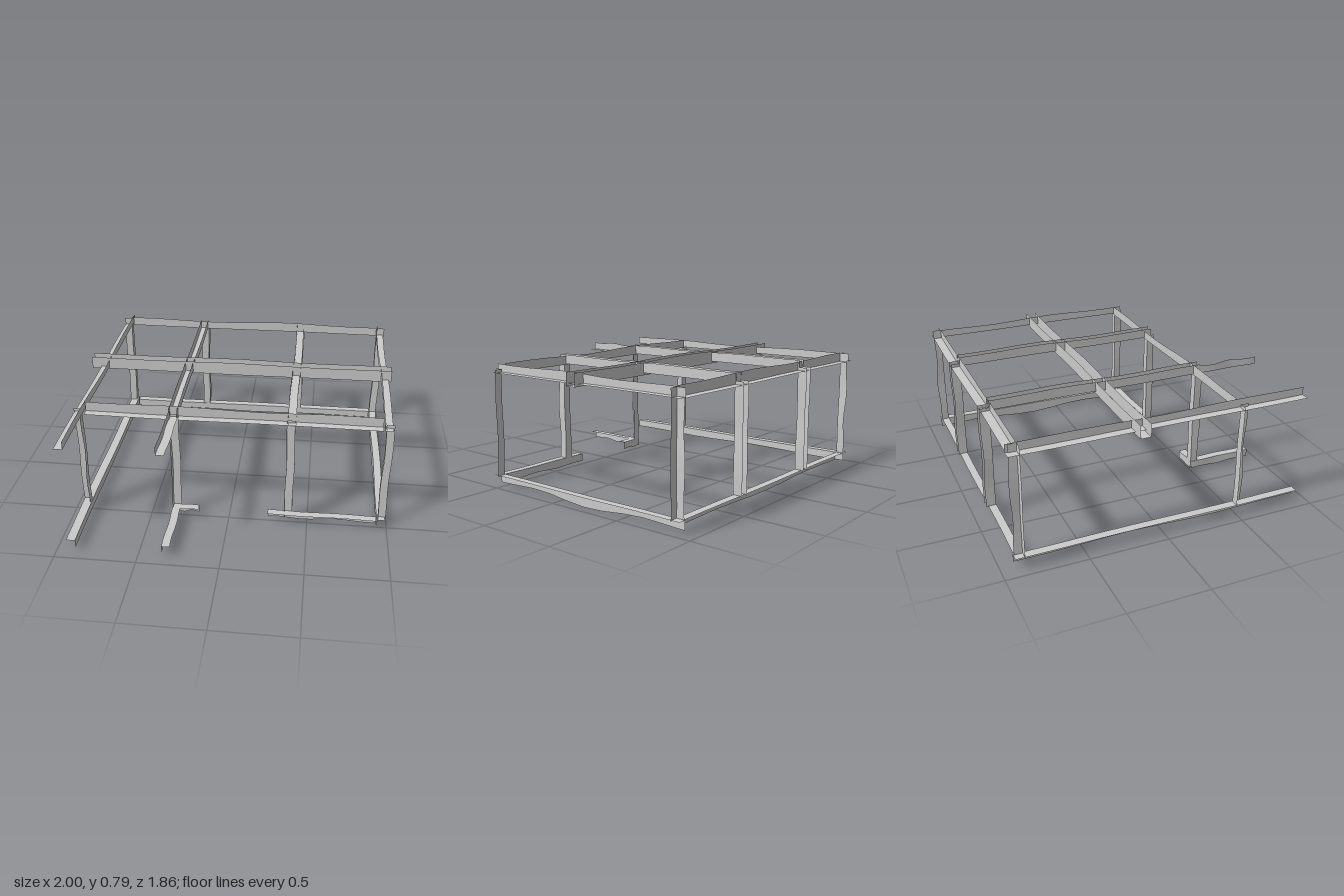
import * as THREE from 'three';

const material = new THREE.MeshStandardMaterial({ color: 0xcccccc, side: THREE.DoubleSide, flatShading: true });
const V = (x, y, z) => new THREE.Vector3(x, y, z);
const X = V(1, 0, 0), Y = V(0, 1, 0), Z = V(0, 0, 1);
const neg = (v) => v.clone().negate();

// Slightly wavy thin-sheet beam: an open section (list of points built from
// the two flange directions u and v) swept in a straight line from a to b.
function sweep(name, a, b, u, v, section, wave) {
  const n = 10, rows = section.length, pos = [], index = [];
  const phase = (a.x + 2 * a.y + 3 * a.z + b.x) * 4;
  for (let i = 0; i <= n; i++) {
    const t = i / n;
    const drift = 0.003 * Math.sin(t * 9 + phase);
    const swell = 1 + wave * Math.sin(t * Math.PI * 3 + phase) * Math.sin(t * Math.PI);
    for (const [su, sv] of section) {
      const p = a.clone().lerp(b, t);
      p.addScaledVector(u, su + drift).addScaledVector(v, sv * swell);
      pos.push(p.x, p.y, p.z);
    }
  }
  for (let i = 0; i < n; i++) {
    for (let j = 0; j < rows - 1; j++) {
      const k = i * rows + j;
      index.push(k, k + rows, k + 1, k + 1, k + rows, k + rows + 1);
    }
  }
  const geometry = new THREE.BufferGeometry();
  geometry.setAttribute('position', new THREE.Float32BufferAttribute(pos, 3));
  geometry.setIndex(index);
  geometry.computeVertexNormals();
  const mesh = new THREE.Mesh(geometry, material);
  mesh.name = name;
  return mesh;
}

// L profile: the path follows the corner, flanges run along u and v
const angle = (name, a, b, u, v, wu = 0.05, wv = 0.05, wave = 0.15) =>
  sweep(name, a, b, u, v, [[wu, 0], [0, 0], [0, wv]], wave);

// U profile: the web lies along u, both flanges run along v
const channel = (name, a, b, u, v, wu = 0.05, wv = 0.06, wave = 0.08) =>
  sweep(name, a, b, u, v, [[0, wv], [0, 0], [wu, 0], [wu, wv]], wave);

export function createModel() {
  const group = new THREE.Group();
  group.name = 'steelFrame';
  const down = neg(Y), left = neg(X), back = neg(Z);

  // Roof edge rails
  group.add(
    angle('roofSideRailA', V(-0.885, 0.72, -0.93), V(-0.885, 0.72, 0.93), left, Y, 0.055),
    angle('roofSideRailB', V(0.93, 0.72, -0.92), V(0.93, 0.72, 0.53), X, Y),
    angle('roofFrontRail', V(-0.88, 0.715, 0.47), V(0.92, 0.715, 0.47), Z, Y, 0.05, 0.06),
    angle('roofBackRail', V(-0.88, 0.715, -0.865), V(0.93, 0.715, -0.865), back, Y, 0.055, 0.06),
  );

  // Roof joists, the long crossbeam and the porch extension
  for (const x of [-0.36, 0.355]) {
    group.add(channel('roofJoist', V(x, 0.72, -0.87), V(x, 0.72, 0.52), X, Y));
  }
  group.add(
    channel('crossbeam', V(-1, 0.705, -0.2), V(1, 0.705, -0.2), Z, Y, 0.065, 0.08),
    angle('porchRoofRail', V(-0.355, 0.72, 0.5), V(-0.355, 0.72, 0.93), X, Y),
  );

  // Floor rails, with a door gap at the front
  group.add(
    angle('floorSideRailA', V(-0.885, 0.075, -0.92), V(-0.885, 0.075, 0.93), left, down, 0.055),
    angle('floorSideRailB', V(0.935, 0.075, -0.92), V(0.935, 0.075, 0.53), X, down, 0.05, 0.058, 0.33),
    angle('floorBackRail', V(-0.88, 0.075, -0.865), V(0.93, 0.075, -0.865), back, down),
    angle('floorFrontRail', V(0.25, 0.075, 0.49), V(0.93, 0.075, 0.49), Z, down),
    angle('doorStubRail', V(-0.355, 0.075, 0.49), V(-0.19, 0.075, 0.49), Z, down),
    angle('porchFloorRail', V(-0.355, 0.075, 0.5), V(-0.355, 0.075, 0.93), X, down),
  );

  // Corner posts
  for (const [z, dir, top] of [[0.49, Z, 0.74], [-0.865, back, 0.77]]) {
    group.add(
      angle('cornerPost', V(-0.895, 0.07, z), V(-0.895, top, z), left, dir),
      angle('cornerPost', V(0.937, 0.07, z), V(0.937, top, z), X, dir),
    );
  }

  // Intermediate posts
  group.add(
    angle('doorPost', V(-0.352, 0.035, 0.49), V(-0.352, 0.735, 0.49), X, Z),
    channel('frontPost', V(0.355, 0.035, 0.49), V(0.355, 0.735, 0.49), X, Z, 0.05, 0.05),
  );
  for (const x of [-0.36, 0.355]) {
    group.add(channel('backPost', V(x, 0.07, -0.865), V(x, 0.735, -0.865), X, back));
  }
  return group;
}
